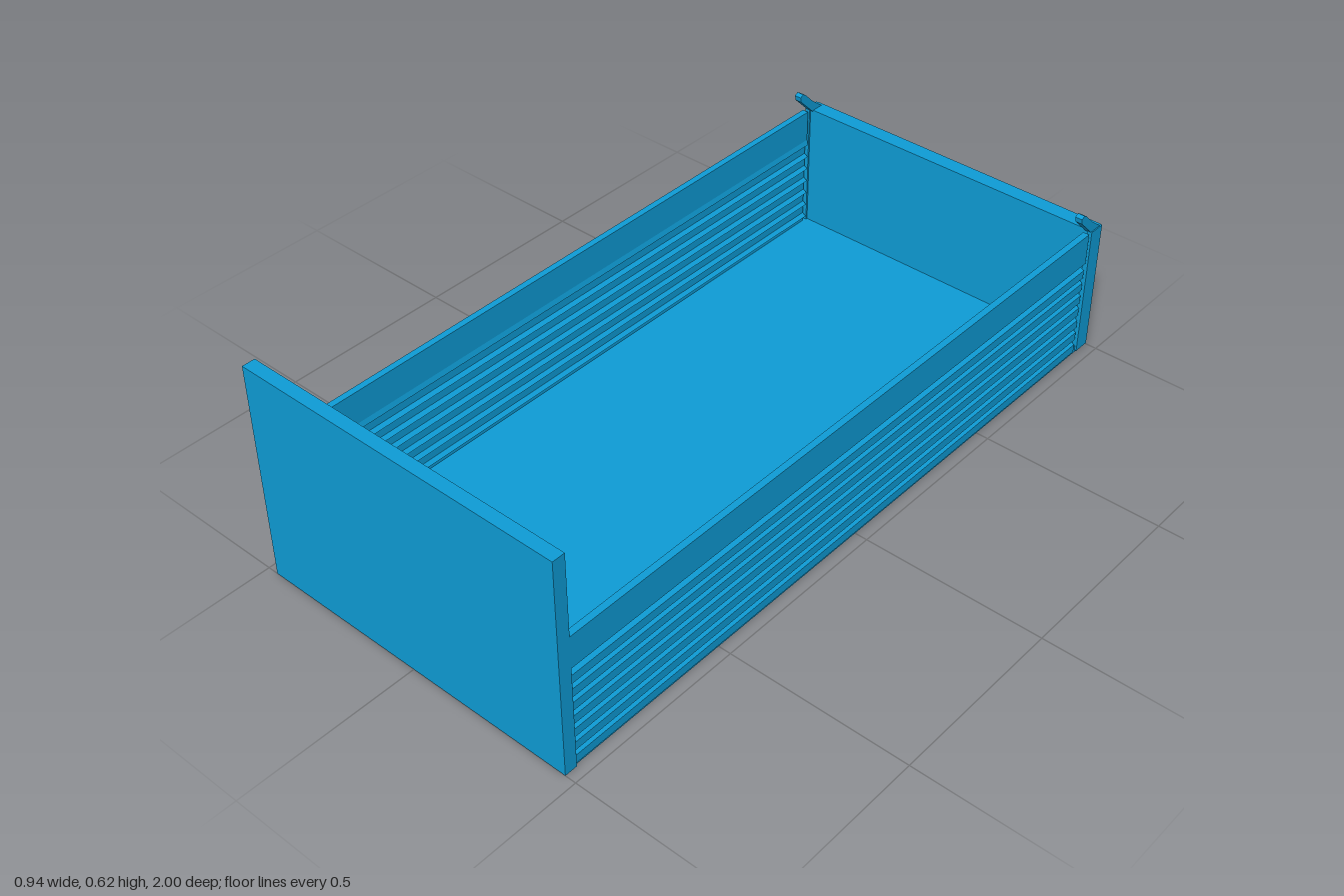
import * as THREE from 'three';

export function createModel() {
  const model = new THREE.Group();
  model.name = 'cargoBed';
  const paint = new THREE.MeshStandardMaterial({ color: 0x0e9cd6 });
  paint.name = 'bluePaint';

  const add = (name, geometry, x = 0, y = 0, z = 0) => {
    const mesh = new THREE.Mesh(geometry, paint);
    mesh.name = name;
    mesh.position.set(x, y, z);
    model.add(mesh);
    return mesh;
  };
  const points = list => list.map(([x, y]) => new THREE.Vector2(x, y));
  const extrude = (shape, depth) =>
    new THREE.ExtrudeGeometry(shape, { depth, bevelEnabled: false });
  const rectangle = (x, y0, y1) => points([[-x, y0], [x, y0], [x, y1], [-x, y1]]);

  // Rectangular frame with an opening, lying in the xy plane
  const frame = (outer, inner, depth) => {
    const shape = new THREE.Shape(outer);
    shape.holes.push(new THREE.Path(inner));
    return extrude(shape, depth);
  };

  // Floor
  add('floor', new THREE.BoxGeometry(0.93, 0.02, 1.93), 0, 0.01, 0.01);

  // Headboard: flat outer skin, raised rim facing the bed
  add('headboardPanel', extrude(new THREE.Shape(rectangle(0.47, 0, 0.615)), 0.008), 0, 0, 0.992);
  add('headboardRim', frame(rectangle(0.47, 0, 0.615), rectangle(0.43, 0.02, 0.52), 0.027), 0, 0, 0.965);

  // Tailgate: flat inner skin, raised rim facing backwards
  add('tailgatePanel', extrude(new THREE.Shape(rectangle(0.465, 0.003, 0.385)), 0.01), 0, 0, -0.965);
  add('tailgateRim', frame(rectangle(0.465, 0.003, 0.385), rectangle(0.422, 0.045, 0.345), 0.035), 0, 0, -1);

  // Corrugated side sheet profile: ridges below a plain top rail
  const ridges = 7, ridgeHeight = 0.28 / ridges;
  const outside = [], inside = [];
  for (let i = 0; i < ridges; i++) {
    const y = i * ridgeHeight;
    for (const [t, x] of [[0, 0.457], [0.2, 0.468], [0.8, 0.468]]) {
      outside.push([x, y + t * ridgeHeight]);
      inside.push([x - 0.009, y + t * ridgeHeight]);
    }
  }
  outside.push([0.457, 0.28], [0.47, 0.295], [0.47, 0.385]);
  inside.push([0.448, 0.28], [0.452, 0.295], [0.452, 0.385]);
  const wallProfile = [...outside, ...inside.reverse()];

  // Hooked latch profile, drawn as z across and y up
  const hookProfile = [[-0.998, 0.38], [-0.955, 0.38], [-0.9, 0.435], [-0.897, 0.45], [-0.908, 0.456], [-0.918, 0.45], [-0.95, 0.418]];

  for (const [side, s] of [['left', 1], ['right', -1]]) {
    const mirrored = wallProfile.map(([x, y]) => [s * x, y]);
    add(side + 'Wall', extrude(new THREE.Shape(points(mirrored)), 1.905), 0, 0, -0.938);

    // Upright strip closing the tailgate corner
    add(side + 'TailgatePost', new THREE.BoxGeometry(0.014, 0.38, 0.048), s * 0.463, 0.195, -0.974);

    const hook = extrude(new THREE.Shape(points(hookProfile)), 0.02);
    hook.translate(0, 0, -0.01);
    hook.rotateY(-Math.PI / 2);
    add(side + 'Latch', hook, s * 0.457, 0, 0);
  }

  return model;
}
